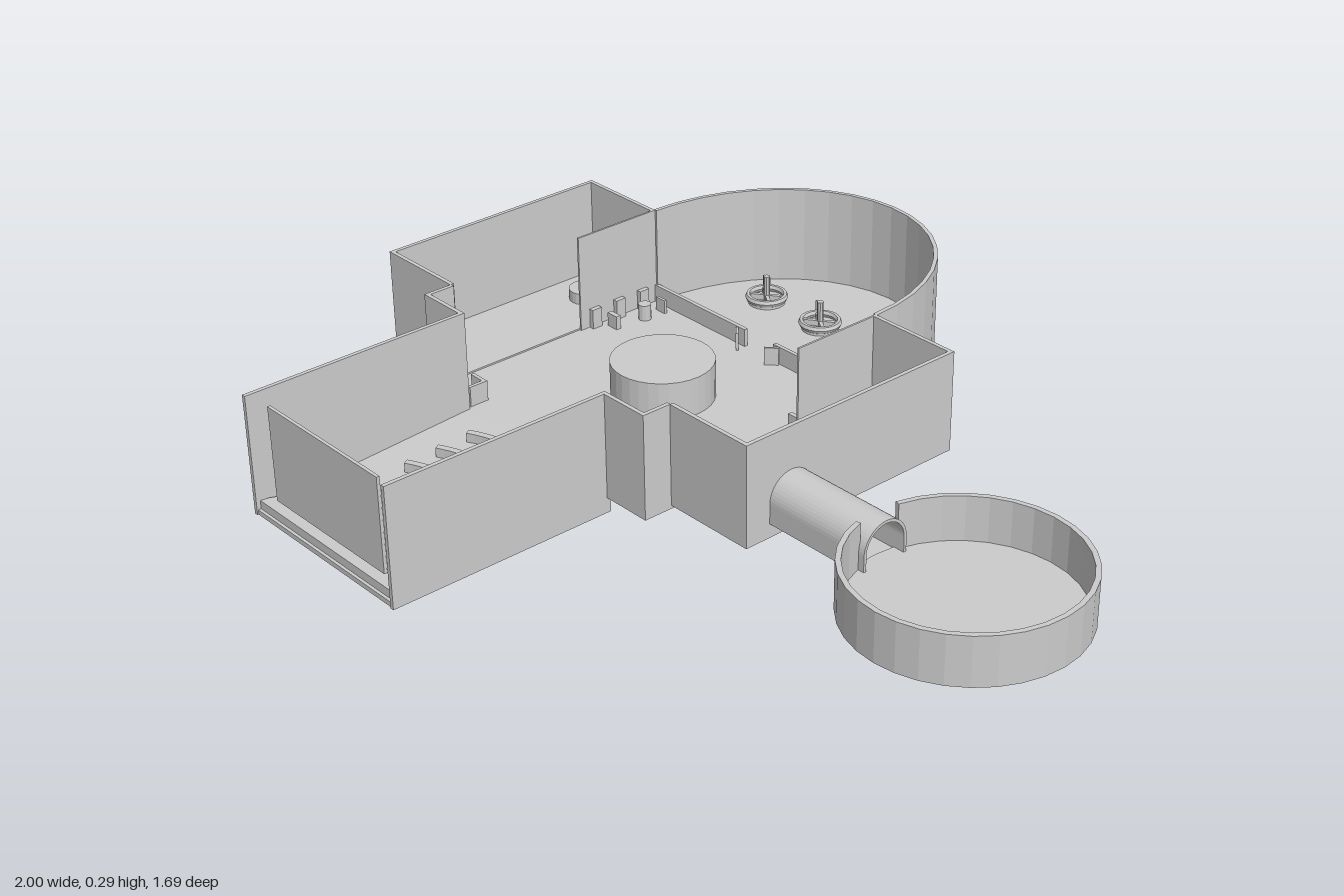
import * as THREE from 'three';

const CX = -0.3825;      // axis of the main building
const FLOOR = 0.05, TOP = 0.295, T = 0.01;

export function createModel() {
  const root = new THREE.Group();
  const mat = new THREE.MeshStandardMaterial({ color: 0xcccccc, flatShading: true, side: THREE.DoubleSide });

  const add = (name, geo, x = 0, y = 0, z = 0) => {
    const m = new THREE.Mesh(geo, mat);
    m.name = name;
    m.position.set(x, y, z);
    root.add(m);
    return m;
  };
  // box from its min and max corners
  const box = (name, x0, x1, y0, y1, z0, z1) =>
    add(name, new THREE.BoxGeometry(x1 - x0, y1 - y0, z1 - z0), (x0 + x1) / 2, (y0 + y1) / 2, (z0 + z1) / 2);
  // box mirrored about the building axis; a and b are offsets from it
  const pair = (name, a, b, y0, y1, z0, z1) => {
    box(name + 'Left', CX + a, CX + b, y0, y1, z0, z1);
    box(name + 'Right', CX - b, CX - a, y0, y1, z0, z1);
  };
  // plan outline of [x, z] points extruded upward
  const slab = (name, pts, y0, y1) => {
    const shape = new THREE.Shape(pts.map(([x, z]) => new THREE.Vector2(x, -z)));
    const geo = new THREE.ExtrudeGeometry(shape, { depth: y1 - y0, bevelEnabled: false });
    return add(name, geo.rotateX(-Math.PI / 2), 0, y0, 0);
  };
  const arc = (cx, cz, rx, rz, a0, a1, n) => Array.from({ length: n + 1 }, (_, i) => {
    const a = a0 + (a1 - a0) * i / n;
    return [cx + rx * Math.cos(a), cz + rz * Math.sin(a)];
  });
  const band = (name, cx, cz, rx, rz, t, a0, a1, n, y0, y1) =>
    slab(name, [...arc(cx, cz, rx, rz, a0, a1, n), ...arc(cx, cz, rx - t, rz - t, a1, a0, n)], y0, y1);

  // main hall and rounded rear room
  slab('hallFloor', [...arc(CX, -0.405, 0.3825, 0.443, Math.PI, 2 * Math.PI, 20),
    [0, 0.28], [-0.765, 0.28]], 0.04, FLOOR);
  band('rearCurvedWall', CX, -0.405, 0.3825, 0.443, T, Math.PI, 2 * Math.PI, 20, 0.04, TOP);
  pair('hallPartition', 0.3775, 0.3825, FLOOR, TOP, -0.405, -0.165);
  pair('hallFrontSide', 0.3725, 0.3825, 0.04, TOP, 0.205, 0.28);
  pair('hallFrontWall', 0.2525, 0.3825, 0.04, TOP, 0.27, 0.28);
  pair('rearRail', 0.05, 0.378, FLOOR, 0.095, -0.41, -0.4);
  for (const s of [-1, 1]) {
    const end = add('rearRailEnd', new THREE.BoxGeometry(0.035, 0.045, 0.006), CX + s * 0.06, 0.0725, -0.385);
    end.rotation.y = s * 0.75;
  }
  add('centralPlatform', new THREE.CylinderGeometry(0.122, 0.122, 0.095, 32), CX, 0.0965, -0.1);

  // side wings
  pair('wingFloor', 0.3825, 0.62, 0.048, 0.054, -0.405, 0.207);
  pair('wingBackWall', 0.3825, 0.62, 0.048, TOP, -0.405, -0.395);
  pair('wingFrontWall', 0.3825, 0.62, 0.048, TOP, 0.197, 0.207);
  box('rightOuterWall', -1.0025, -0.9925, 0.048, TOP, -0.405, 0.207);

  // arch outline in the plane across the passage, horizontal axis = -z
  const PZ = 0.08;
  const arch = (Kind, r, y0) => {
    const s = new Kind();
    s.moveTo(-PZ - r, y0);
    s.lineTo(-PZ + r, y0);
    s.lineTo(-PZ + r, 0.13);
    s.absarc(-PZ, 0.13, r, 0, Math.PI, false);
    s.lineTo(-PZ - r, y0);
    return s;
  };
  const alongX = (name, shape, x0, x1) => add(name, new THREE.ExtrudeGeometry(shape,
    { depth: x1 - x0, bevelEnabled: false, curveSegments: 12 }).rotateY(Math.PI / 2), x0, 0, 0);

  // wing wall with the doorway
  const wall = new THREE.Shape();
  wall.moveTo(-0.207, 0.048);
  wall.lineTo(0.405, 0.048);
  wall.lineTo(0.405, TOP);
  wall.lineTo(-0.207, TOP);
  wall.closePath();
  wall.holes.push(arch(THREE.Path, 0.058, 0.087));
  alongX('leftOuterWall', wall, 0.2275, 0.2375);

  // arched passage to the round room
  const passage = arch(THREE.Shape, 0.061, 0.082);
  passage.holes.push(arch(THREE.Path, 0.054, 0.09));
  alongX('passage', passage, 0.22, 0.515);

  // detached round room, its wall open at the passage
  add('roundRoomFloor', new THREE.CylinderGeometry(0.258, 0.258, 0.01, 32), 0.739, 0.088, PZ);
  band('roundRoomWall', 0.739, PZ, 0.26, 0.26, 0.012, -Math.PI + 0.22, Math.PI - 0.22, 30, 0.083, 0.2);

  // theatre: sloping floor, walls, stage and screen
  const slope = new THREE.Shape();
  [[-0.28, 0.003], [-0.28, 0.05], [-0.842, 0.015], [-0.842, 0.003]].forEach(([u, v], i) =>
    i ? slope.lineTo(u, v) : slope.moveTo(u, v));
  alongX('theatreFloor', slope, CX - 0.25, CX + 0.25);
  pair('theatreWall', 0.2455, 0.2555, 0.003, TOP, 0.27, 0.845);
  slab('stage', arc(CX, 0.835, 0.245, 0.133, Math.PI, 2 * Math.PI, 20), 0.01, 0.036);
  box('screen', CX - 0.197, CX + 0.197, 0.052, 0.282, 0.814, 0.822);
  for (let i = 0; i < 3; i++) {
    const z = 0.312 + i * 0.085;
    const y = 0.05 - (z - 0.28) * 0.062;
    band('curvedBench', CX, z + 0.3, 0.3, 0.3, 0.016, -Math.PI / 2 - 0.5, -Math.PI / 2 + 0.5, 14, y - 0.006, y + 0.02);
  }
  // L-shaped counters beside the theatre entrance
  pair('counterFront', 0.252, 0.302, FLOOR, 0.1, 0.213, 0.222);
  pair('counterSide', 0.252, 0.261, FLOOR, 0.1, 0.213, 0.262);

  // three spoked round consoles with a small upright panel each
  for (const dx of [-0.19, 0, 0.19]) {
    const x = CX + dx, z = -0.602;
    const rim = add('consoleRim', new THREE.TorusGeometry(0.046, 0.007, 6, 24).rotateX(Math.PI / 2), x, 0.066, z);
    rim.scale.y = 1.3;
    add('consoleBase', new THREE.CylinderGeometry(0.046, 0.046, 0.006, 24), x, 0.053, z);
    for (const a of [0.6, -0.6]) {
      const spoke = add('consoleSpoke', new THREE.BoxGeometry(0.09, 0.014, 0.009), x, 0.063, z);
      spoke.rotation.y = a;
    }
    add('consolePost', new THREE.CylinderGeometry(0.008, 0.008, 0.07, 8), x, 0.085, z);
    box('consolePanel', x - 0.063, x - 0.04, FLOOR, 0.085, -0.652, -0.647);
  }

  // furniture along both partitions
  for (const s of [-1, 1]) {
    add('stool', new THREE.CylinderGeometry(0.016, 0.016, 0.04, 12), CX + s * 0.324, 0.07, -0.333 - s * 0.012);
  }
  for (const z of [-0.355, -0.28, -0.205]) box('rightCabinet', -0.758, -0.746, FLOOR, 0.1, z - 0.014, z + 0.014);
  box('rightDesk', -0.738, -0.705, FLOOR, 0.085, -0.243, -0.23);
  box('rightShelf', -0.724, -0.692, FLOOR, 0.085, -0.379, -0.372);
  box('leftShelf', -0.074, -0.045, FLOOR, 0.085, -0.379, -0.372);
  for (const z of [-0.345, -0.255]) {
    box('leftDeskBack', -0.019, -0.008, FLOOR, 0.1, z, z + 0.065);
    box('leftDeskSide', -0.058, -0.019, FLOOR, 0.1, z + 0.054, z + 0.065);
  }

  // wing furniture
  box('leftWingCabinetRear', 0.012, 0.035, 0.05, 0.11, -0.35, -0.29);
  box('leftWingCabinetFront', 0.012, 0.035, 0.05, 0.11, -0.248, -0.195);
  box('leftWingPanel', 0.208, 0.226, 0.05, 0.13, -0.365, -0.225);
  add('rightWingTable', new THREE.CylinderGeometry(0.042, 0.042, 0.03, 24), -0.885, 0.067, -0.282);
  pair('wingBench', 0.462, 0.518, 0.05, 0.1, 0.162, 0.184);

  return root;
}
